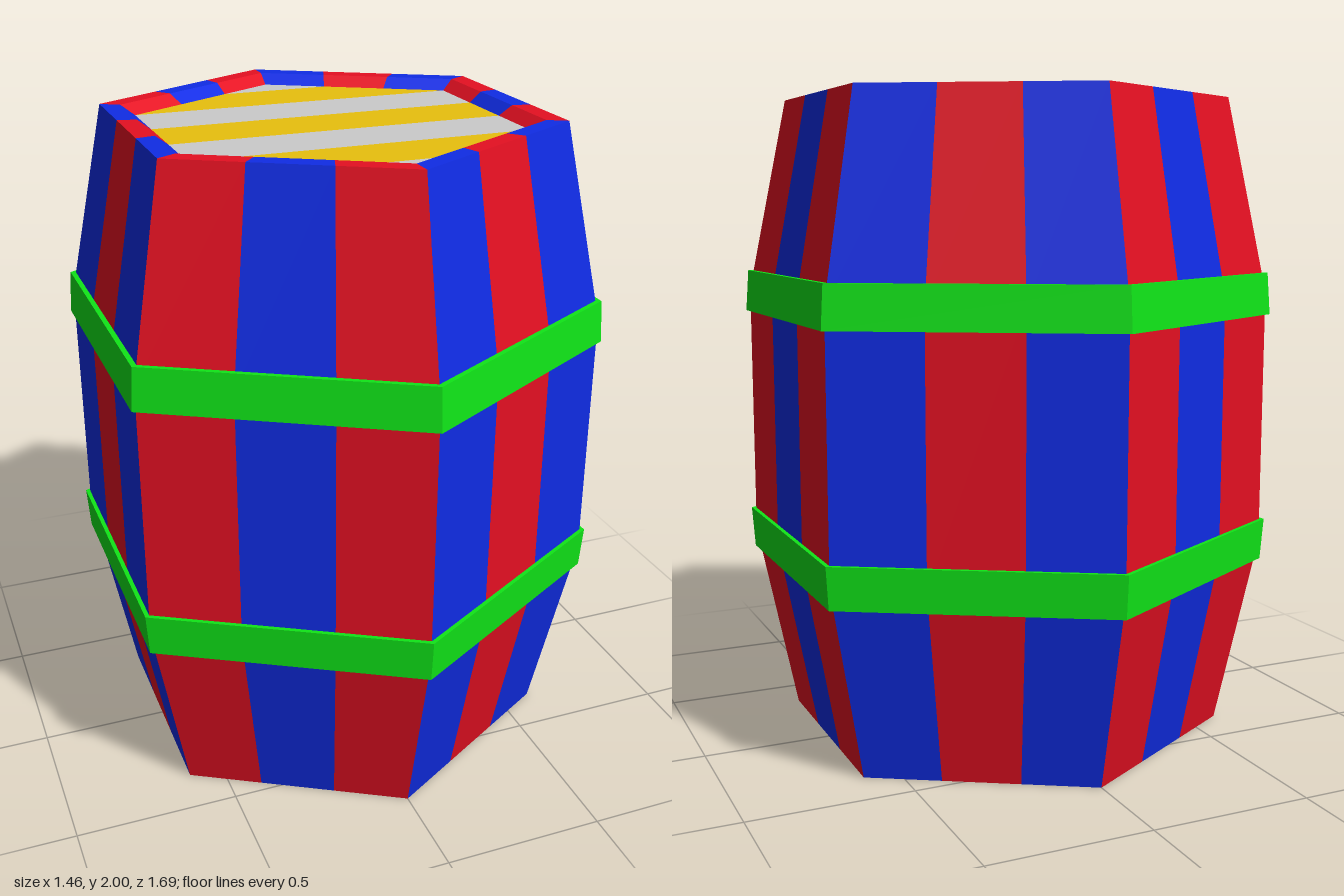
import * as THREE from 'three';

const material = (color) => new THREE.MeshStandardMaterial({ color, flatShading: true });

// Point on a hexagon of corner radius r (corners on +z and -z), t = 0..6 along its edges
function hexPoint(r, y, t) {
  const k = Math.floor(t), f = t - k;
  const a = (k * Math.PI) / 3, b = ((k + 1) * Math.PI) / 3;
  return [
    r * (Math.sin(a) * (1 - f) + Math.sin(b) * f),
    y,
    r * (Math.cos(a) * (1 - f) + Math.cos(b) * f),
  ];
}

// Sweep a closed [radius, y] profile around the hexagon through the given stops
function hexSweep(profile, stops) {
  const pos = [];
  for (let s = 0; s < stops.length - 1; s++) {
    profile.forEach(([r0, y0], i) => {
      const [r1, y1] = profile[(i + 1) % profile.length];
      const a0 = hexPoint(r0, y0, stops[s]), b0 = hexPoint(r0, y0, stops[s + 1]);
      const a1 = hexPoint(r1, y1, stops[s]), b1 = hexPoint(r1, y1, stops[s + 1]);
      pos.push(...a0, ...b0, ...b1, ...a0, ...b1, ...a1);
    });
  }
  const g = new THREE.BufferGeometry();
  g.setAttribute('position', new THREE.Float32BufferAttribute(pos, 3));
  g.computeVertexNormals();
  return g;
}

export function createModel() {
  const barrel = new THREE.Group();
  barrel.name = 'barrel';
  const red = material(0xe51022), blue = material(0x102ce5);
  const green = material(0x10e518), gold = material(0xe8c00e), grey = material(0xcccccc);

  const add = (parent, name, geometry, mat) => {
    const mesh = new THREE.Mesh(geometry, mat);
    mesh.name = name;
    parent.add(mesh);
    return mesh;
  };

  // Staves: three per side, alternating colours, with bevelled rims
  const staves = new THREE.Group();
  staves.name = 'staves';
  barrel.add(staves);
  const staveProfile = [
    [0.70, 0], [0.83, 0.6], [0.83, 1.4], [0.70, 2],
    [0.635, 2], [0.59, 1.97], [0.59, 0.03], [0.635, 0],
  ];
  for (let i = 0; i < 18; i++) {
    const side = Math.floor(i / 3), j = i % 3;
    // stop just short of the next corner so the last point stays on this side
    const end = j === 2 ? side + 1 - 1e-9 : side + (j + 1) / 3;
    add(staves, 'stave', hexSweep(staveProfile, [side + j / 3, end]), i % 2 ? red : blue);
  }

  // Hoops: mirrored bands, slightly narrower towards the barrel ends
  const upper = [[0.81, 1.33], [0.845, 1.33], [0.835, 1.46], [0.81, 1.46]];
  const lower = upper.map(([r, y]) => [r, 2 - y]).reverse();
  const corners = [0, 1, 2, 3, 4, 5, 6];
  add(barrel, 'upperHoop', hexSweep(upper, corners), green);
  add(barrel, 'lowerHoop', hexSweep(lower, corners), green);

  // Lids: planks running along x, cut to the hexagonal opening
  const R = 0.59;
  const cuts = [-6, -5, -3, -1, 1, 3, 5, 6].map((k) => (k * R) / 6);
  const halfWidth = (z) => Math.min(R * Math.sqrt(3) / 2, (R - Math.abs(z)) * Math.sqrt(3));
  for (const [name, y] of [['topLid', 1.94], ['bottomLid', 0.03]]) {
    const lid = new THREE.Group();
    lid.name = name;
    lid.position.y = y;
    barrel.add(lid);
    for (let i = 0; i < 7; i++) {
      const z0 = cuts[i], z1 = cuts[i + 1], w0 = halfWidth(z0), w1 = halfWidth(z1);
      const points = [[-w0, z0], [w0, z0], [w1, z1], [-w1, z1]];
      // the end planks are triangles, so drop their doubled tip
      if (i === 0) points.shift();
      if (i === 6) points.pop();
      const shape = new THREE.Shape(points.map(([x, z]) => new THREE.Vector2(x, z)));
      const g = new THREE.ExtrudeGeometry(shape, { depth: 0.03, bevelEnabled: false });
      g.rotateX(-Math.PI / 2);
      add(lid, 'lidPlank', g, i % 2 ? gold : grey);
    }
  }
  return barrel;
}
